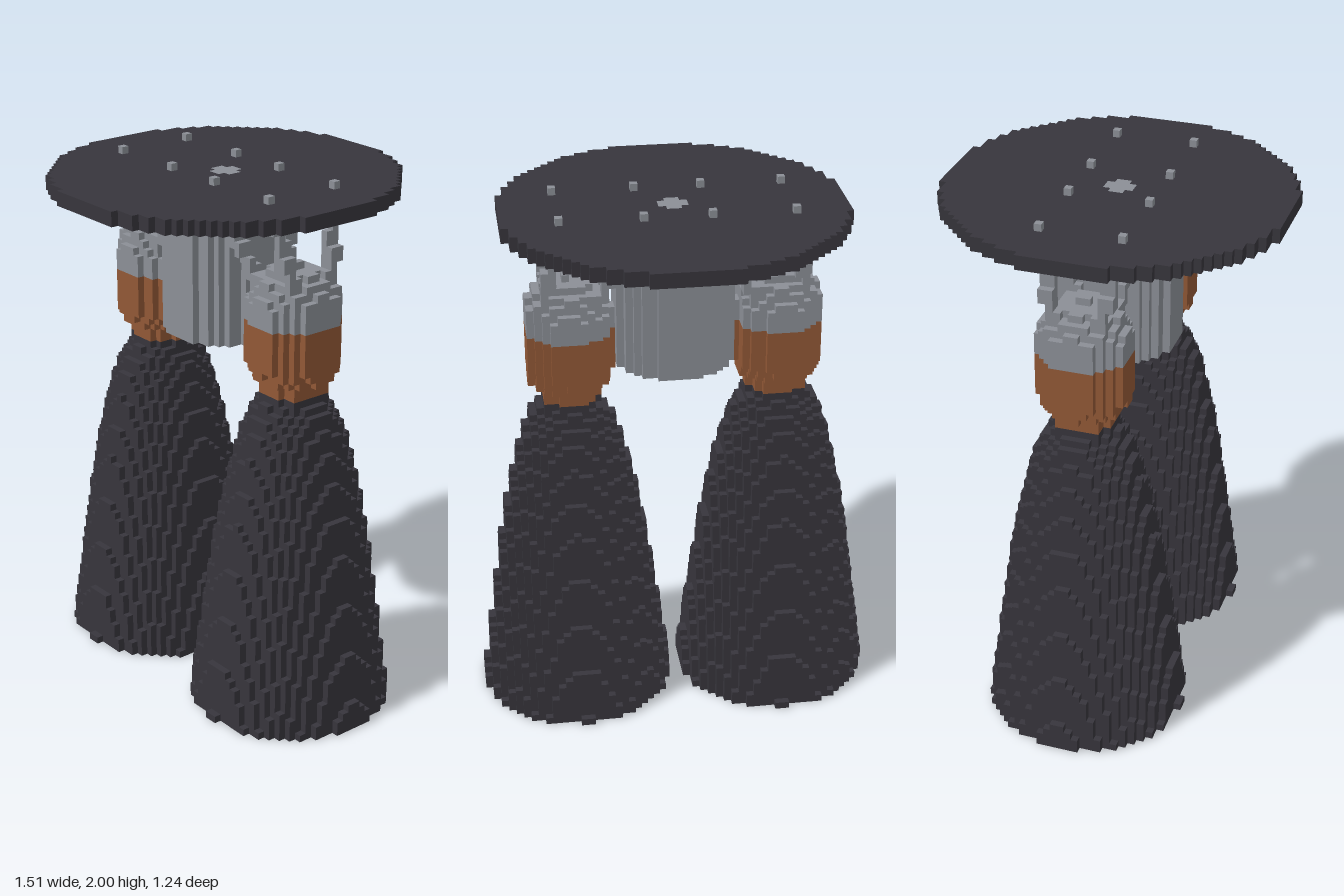
import * as THREE from 'three';

const V = 2 / 74;      // edge of one block
const ENGINE_X = 14.36; // engine axis, in blocks

const mat = (name, color) => {
  const m = new THREE.MeshStandardMaterial({ color });
  m.name = name;
  return m;
};

// Mesh of unit blocks whose centres pass inside(x, y, z); only exposed faces are made.
function blocks(name, material, [x0, x1], [y0, y1], [z0, z1], inside) {
  const filled = new Set();
  const key = (p) => p.join();
  const cells = [];
  for (let x = x0; x < x1; x++)
    for (let y = y0; y < y1; y++)
      for (let z = z0; z < z1; z++)
        if (inside(x + 0.5, y + 0.5, z + 0.5)) {
          cells.push([x, y, z]);
          filled.add(key([x, y, z]));
        }
  const pos = [];
  for (const c of cells)
    for (let d = 0; d < 3; d++)
      for (const s of [0, 1]) {
        const n = [...c];
        n[d] += s ? 1 : -1;
        if (filled.has(key(n))) continue;
        const quad = [[0, 0], [1, 0], [1, 1], [0, 1]].map(([a, b]) => {
          const p = [...c];
          p[d] += s;
          p[(d + 1) % 3] += a;
          p[(d + 2) % 3] += b;
          return p.map((k) => k * V);
        });
        if (!s) quad.reverse();
        for (const i of [0, 1, 2, 0, 2, 3]) pos.push(...quad[i]);
      }
  const g = new THREE.BufferGeometry();
  g.setAttribute('position', new THREE.Float32BufferAttribute(pos, 3));
  g.computeVertexNormals();
  const mesh = new THREE.Mesh(g, material);
  mesh.name = name;
  return mesh;
}

// Radius at height y from [y, radius] points.
function radiusAt(profile, y) {
  for (let i = 1; i < profile.length; i++) {
    const [ya, ra] = profile[i - 1], [yb, rb] = profile[i];
    if (y <= yb) return ra + ((rb - ra) * (y - ya)) / (yb - ya);
  }
  return profile[profile.length - 1][1];
}

const BELL = [[0, 13.6], [4, 13.14], [11, 12.14], [18, 11.14], [25, 10.14], [30.5, 9.14],
  [35, 8.14], [39, 7.14], [42, 6.14], [44, 5.14], [45, 4.14], [46, 3.9]];
const CHAMBER = [[46, 4], [47.5, 4.1], [48.5, 5.2], [49.5, 5.6], [50.5, 6], [56, 6]];
const DOME = [[56, 6], [59, 6], [60.5, 5.2], [61.5, 4.6], [62.5, 3.4], [63.5, 0.9], [64, 0.7]];

export function createModel() {
  const dark = mat('dark metal', 0x37353c);
  const grey = mat('light grey metal', 0x8b8f96);
  const copper = mat('copper', 0x915836);
  const model = new THREE.Group();
  model.name = 'twinEngine';

  // Mounting plate with the pole end set into its centre
  const pole = (x, z) => Math.hypot(x, z) < 2;
  model.add(
    blocks('mountingPlate', dark, [-24, 24], [71, 73], [-24, 24],
      (x, y, z) => Math.hypot(x, z) <= 23.25 && !pole(x, z)),
    blocks('poleEnd', grey, [-2, 2], [71, 73], [-2, 2], (x, y, z) => pole(x, z)),
    blocks('centralTank', grey, [-8, 8], [51, 71], [-8, 8], (x, y, z) => Math.hypot(x, z) <= 8),
  );

  for (const side of [-1, 1]) {
    const engine = new THREE.Group();
    engine.name = side > 0 ? 'leftEngine' : 'rightEngine';
    const xs = side > 0 ? [0, 29] : [-29, 0];
    const dist = (x, z) => Math.hypot(x * side - ENGINE_X, z);

    // Hollow bell nozzle, closed at the throat
    engine.add(blocks('nozzle', dark, xs, [0, 46], [-15, 15], (x, y, z) => {
      const r = radiusAt(BELL, y), d = dist(x, z);
      return d <= r && (y > 44 || d > r - 1.6);
    }));
    // Combustion chamber and its domed head
    engine.add(blocks('chamber', copper, xs, [46, 56], [-7, 7],
      (x, y, z) => dist(x, z) <= radiusAt(CHAMBER, y)));
    engine.add(blocks('chamberDome', grey, xs, [56, 64], [-7, 7],
      (x, y, z) => dist(x, z) <= radiusAt(DOME, y)));

    // Four slanted struts, leaning outward from dome to plate
    for (const [name, topX, slope] of [['outerStrut', 15.5, 0.17], ['innerStrut', 4.5, 0.45]])
      for (const zs of [-1, 1]) {
        const near = (x, y, z, t) =>
          Math.abs(x * side - topX - (73.5 - y) * slope) <= t &&
          Math.abs(z * zs - 5.5 + (73.5 - y) * 0.2) <= t;
        engine.add(blocks(name, grey, xs, [60, 71], [-7, 7], (x, y, z) => near(x, y, z, 0.8)));
        // Bolt end showing above the plate
        engine.add(blocks(name + 'End', grey, xs, [73, 74], [-7, 7],
          (x, y, z) => near(x, y, z, 0.4)));
      }
    model.add(engine);
  }
  return model;
}
